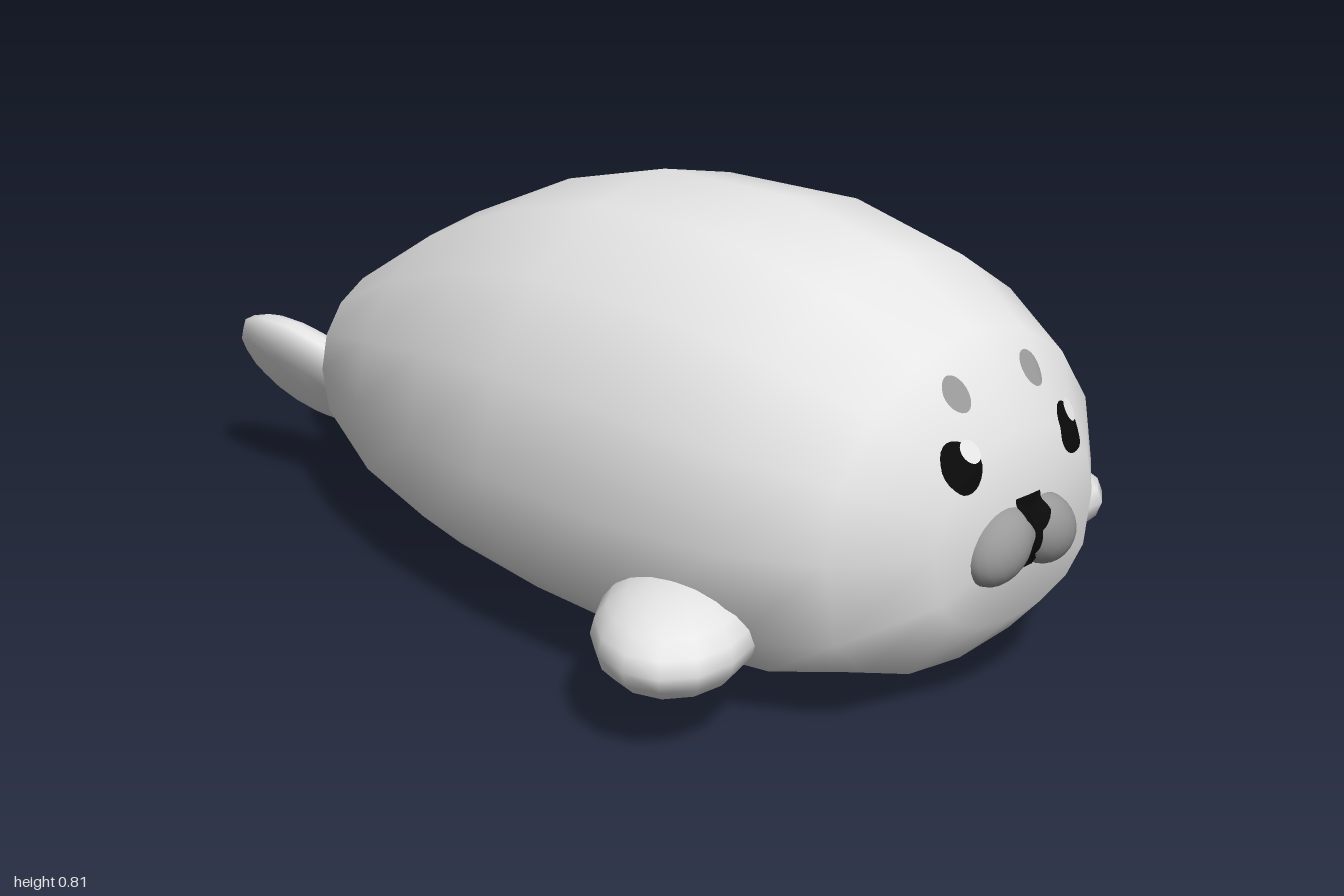
import * as THREE from 'three';
import { mergeVertices } from 'three/addons/utils/BufferGeometryUtils.js';

const material = (name, color) => new THREE.MeshStandardMaterial({ name, color });

// Loft of rounded sections with a flattened belly: [z, halfWidth, top, widestY, bottom]
function bodyGeometry() {
  const stations = [
    [0.962, 0, 0.33, 0.33, 0.33],
    [0.935, 0.22, 0.5, 0.33, 0.16],
    [0.83, 0.37, 0.65, 0.33, 0.055],
    [0.67, 0.455, 0.75, 0.33, 0.018],
    [0.42, 0.487, 0.81, 0.33, 0.004],
    [0.115, 0.47, 0.81, 0.33, 0.015],
    [-0.135, 0.42, 0.75, 0.325, 0.027],
    [-0.4, 0.325, 0.637, 0.31, 0.05],
    [-0.675, 0.185, 0.475, 0.29, 0.12],
    [-0.725, 0.1, 0.375, 0.28, 0.19],
    [-0.75, 0, 0.28, 0.28, 0.28],
  ];
  const sides = 16, pos = [], index = [];
  for (const [z, w, top, mid, bottom] of stations) {
    for (let j = 0; j < sides; j++) {
      const a = (j / sides) * Math.PI * 2, c = Math.cos(a);
      const y = c > 0 ? mid + c * (top - mid) : mid - Math.pow(-c, 0.65) * (mid - bottom);
      pos.push(w * Math.sin(a), y, z);
    }
  }
  for (let i = 0; i < stations.length - 1; i++) {
    for (let j = 0; j < sides; j++) {
      const k = (j + 1) % sides;
      const a = i * sides + j, b = i * sides + k, c = a + sides, d = b + sides;
      if (i > 0) index.push(a, b, c);
      if (i < stations.length - 2) index.push(b, d, c);
      if (i === 0) index.push(a, d, c);
    }
  }
  // first and last bands are fans, so keep only their non-degenerate triangles
  const clean = [];
  const last = (stations.length - 2) * sides;
  for (let t = 0; t < index.length; t += 3) {
    const tri = index.slice(t, t + 3);
    const front = tri.filter((v) => v < sides).length;
    const back = tri.filter((v) => v >= last + sides).length;
    if (front < 2 && back < 2) clean.push(...tri);
  }
  let g = new THREE.BufferGeometry();
  g.setAttribute('position', new THREE.Float32BufferAttribute(pos, 3));
  g.setIndex(clean);
  g = mergeVertices(g, 1e-4);
  g.computeVertexNormals();
  return g;
}

export function createModel() {
  const model = new THREE.Group();
  model.name = 'seal';
  const fur = material('pale fur', 0xe6e6e6);
  const grey = material('grey markings', 0x9a9a9a);
  const black = material('black', 0x0a0a0a);

  const add = (name, geometry, mat) => {
    const mesh = new THREE.Mesh(geometry, mat);
    mesh.name = name;
    model.add(mesh);
    return mesh;
  };
  const ellipsoid = (name, mat, radii, position, rotation, segments = [14, 10]) => {
    const mesh = add(name, new THREE.SphereGeometry(1, ...segments), mat);
    mesh.scale.set(...radii);
    mesh.position.set(...position);
    mesh.rotation.set(...rotation);
    return mesh;
  };

  const body = add('body', bodyGeometry(), fur);
  const face = [body];

  for (const s of [1, -1]) {
    const side = s > 0 ? 'left' : 'right';
    ellipsoid(side + 'FrontFlipper', fur, [0.224, 0.088, 0.143],
      [s * 0.437, 0.167, 0.563], [0, -s * 0.63, 0]);
    // rear flippers roll into a V, outer edges up
    ellipsoid(side + 'RearFlipper', fur, [0.148, 0.06, 0.2],
      [s * 0.108, 0.245, -0.8], [0.15, -s * 0.1, s * 0.94]);
    face.push(ellipsoid(side + 'Muzzle', grey, [0.078, 0.062, 0.052],
      [s * 0.062, 0.312, 0.943], [0, 0, -s * 0.55], [20, 14]));
  }
  model.updateMatrixWorld(true);

  // Lay a flat geometry onto the face from the front
  const ray = new THREE.Raycaster();
  const back = new THREE.Vector3(0, 0, -1);
  const paint = (name, geometry, mat, lift) => {
    const p = geometry.attributes.position;
    for (let i = 0; i < p.count; i++) {
      ray.set(new THREE.Vector3(p.getX(i), p.getY(i), 2), back);
      const hit = ray.intersectObjects(face, false)[0];
      p.setZ(i, (hit ? hit.point.z : 0.93) + lift);
    }
    geometry.computeVertexNormals();
    add(name, geometry, mat);
  };
  const disc = (x, y, rx, ry) =>
    new THREE.RingGeometry(0.001, 1, 24, 4).scale(rx, ry, 1).translate(x, y, 0);

  // Eyes with a highlight on the same side of each, and brow spots
  for (const s of [1, -1]) {
    const side = s > 0 ? 'left' : 'right';
    paint(side + 'Eye', disc(s * 0.148, 0.466, 0.038, 0.042), black, 0.005);
    paint(side + 'EyeHighlight', disc(s * 0.148 + 0.022, 0.49, 0.017, 0.018), fur, 0.008);
    paint(side + 'Brow', disc(s * 0.103, 0.572, 0.027, 0.028), grey, 0.005);
  }

  // Nose and mouth line: one strip whose width changes with height
  const nose = new THREE.PlaneGeometry(2, 0.13, 8, 26).translate(0, 0.325, 0);
  const p = nose.attributes.position;
  const halfWidth = (y) => {
    if (y > 0.335) return 0.015 + 0.019 * Math.min(1, (y - 0.335) / 0.025);
    return y < 0.285 ? 0.01 + 0.013 * Math.min(1, (0.285 - y) / 0.02) : 0.01;
  };
  for (let i = 0; i < p.count; i++) p.setX(i, p.getX(i) * halfWidth(p.getY(i)));
  paint('noseAndMouth', nose, black, 0.005);

  return model;
}
